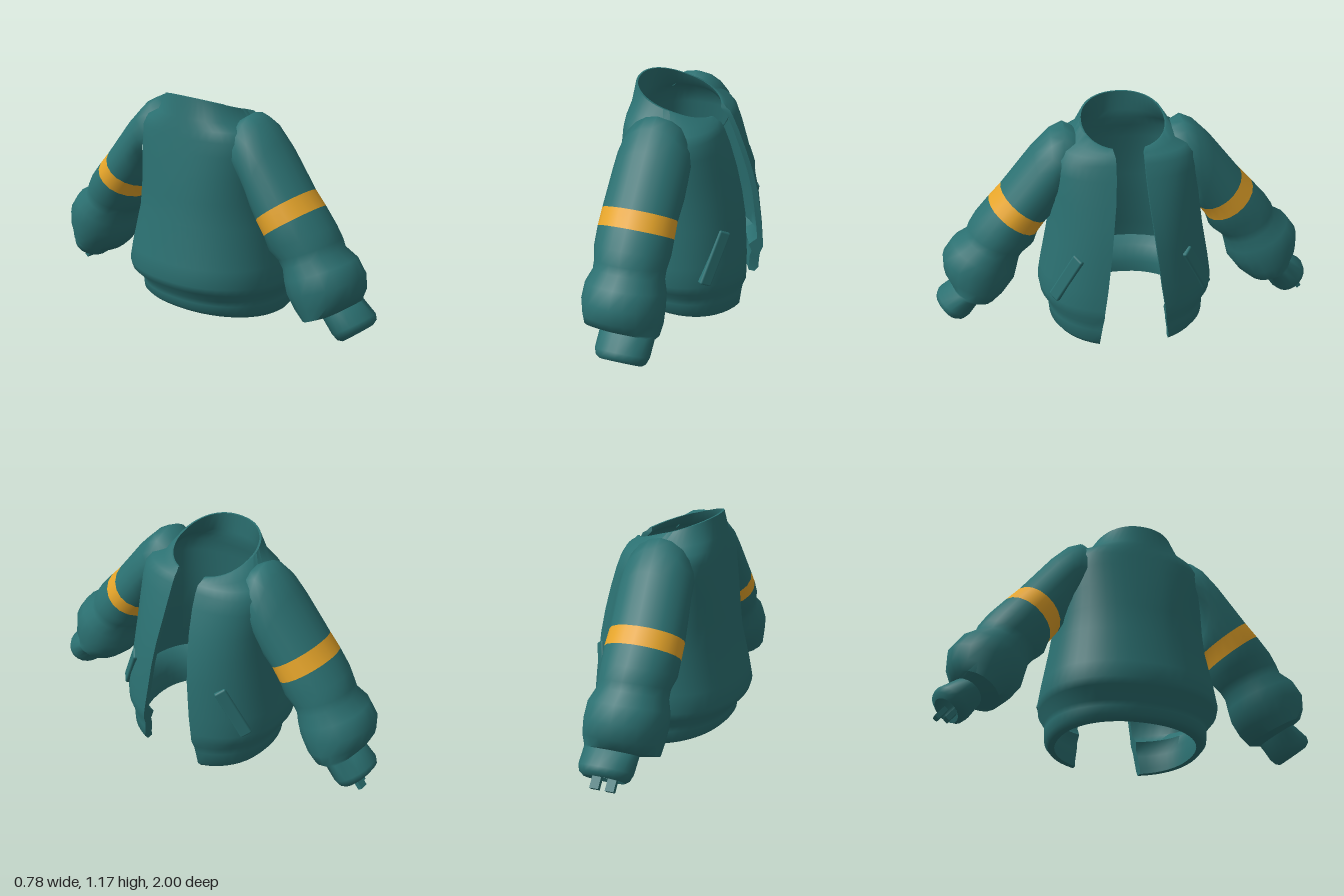
import * as THREE from 'three';
import { toCreasedNormals } from 'three/addons/utils/BufferGeometryUtils.js';
import { RoundedBoxGeometry } from 'three/addons/geometries/RoundedBoxGeometry.js';

const fabric = new THREE.MeshStandardMaterial({ color: 0x2b7071 });
fabric.name = 'teal fabric';
const gold = new THREE.MeshStandardMaterial({ color: 0xe6a52a });
gold.name = 'gold band';

// Triangles joining two rows of equal length
function rowTriangles(rows, i, k, wrap, index) {
  const n = rows[0].length;
  for (let j = 0; j < (wrap ? n : n - 1); j++) {
    const a = i * n + j, b = i * n + (j + 1) % n;
    const c = k * n + j, d = k * n + (j + 1) % n;
    index.push(a, c, b, b, c, d);
  }
}

function makeGeometry(rows, index) {
  const geo = new THREE.BufferGeometry();
  geo.setAttribute('position', new THREE.Float32BufferAttribute(rows.flat(2), 3));
  geo.setIndex(index);
  return geo;
}

// Body levels: yFront, yBack, xFront, xBack, half width, half opening, thickness, squareness
const LEVELS = [
  [0.00, 0.06, 0.372, -0.29, 0.39, 0.18, 0.03, 2.2],
  [0.03, 0.08, 0.392, -0.31, 0.41, 0.18, 0.05, 2.2],
  [0.10, 0.12, 0.394, -0.315, 0.413, 0.17, 0.05, 2.2],
  [0.14, 0.145, 0.398, -0.318, 0.415, 0.165, 0.045, 2.2],
  [0.18, 0.205, 0.41, -0.38, 0.453, 0.16, 0.075, 2.2],
  [0.23, 0.24, 0.408, -0.39, 0.46, 0.155, 0.03, 2.2],
  [0.33, 0.33, 0.40, -0.375, 0.445, 0.14, 0.03, 2.2],
  [0.53, 0.53, 0.377, -0.332, 0.408, 0.115, 0.03, 2.2],
  [0.66, 0.66, 0.347, -0.317, 0.39, 0.10, 0.03, 2.3],
  [0.78, 0.78, 0.31, -0.302, 0.38, 0.085, 0.03, 2.45],
  [0.90, 0.90, 0.267, -0.284, 0.375, 0.075, 0.03, 2.6],
  [0.97, 0.97, 0.237, -0.273, 0.365, 0.072, 0.03, 2.7],
  [1.005, 1.022, 0.218, -0.265, 0.335, 0.072, 0.04, 2.6],
  [1.015, 1.065, 0.203, -0.257, 0.265, 0.075, 0.03, 2.3],
  [1.03, 1.17, 0.19, -0.24, 0.22, 0.08, 0.01, 2.2],
];

// One open C-shaped outline around the torso
function bodyRow([yf, yb, xf, xb, w, gap, , square], inset) {
  const N = 44, p = 2 / square, row = [];
  const half = w - inset, a = (xf - xb) / 2 - inset, cx = (xf + xb) / 2;
  const start = Math.asin(Math.pow(gap / half, 1 / p));
  for (let j = 0; j <= N; j++) {
    const t = start + (2 * Math.PI - 2 * start) * j / N;
    const c = Math.cos(t), s = Math.sin(t);
    row.push([
      cx + a * Math.sign(c) * Math.pow(Math.abs(c), p),
      yb + (yf - yb) * (c + 1) / 2,
      half * Math.sign(s) * Math.pow(Math.abs(s), p),
    ]);
  }
  return row;
}

function makeBody() {
  const outer = LEVELS.map((l) => bodyRow(l, 0));
  const inner = LEVELS.map((l) => bodyRow(l, l[6])).reverse();
  const rows = [...outer, ...inner], total = rows.length, n = rows[0].length;
  const index = [];
  for (let i = 0; i < total; i++) rowTriangles(rows, i, (i + 1) % total, false, index);
  // Front opening edges
  for (let i = 0; i < LEVELS.length - 1; i++) {
    for (const j of [0, n - 1]) {
      const o0 = i * n + j, o1 = o0 + n;
      const i0 = (total - 1 - i) * n + j, i1 = i0 - n;
      if (j === 0) index.push(o0, i0, i1, o0, i1, o1);
      else index.push(o0, i1, i0, o0, o1, i1);
    }
  }
  return toCreasedNormals(makeGeometry(rows, index), 0.9);
}

// Sleeve sections: upper z, upper y, lower z, lower y, centre x, x radius
const SLEEVE = [
  [0.235, 1.06, 0.36, 0.72, -0.035, 0.175],
  [0.30, 1.098, 0.375, 0.66, -0.035, 0.185],
  [0.37, 1.065, 0.38, 0.63, -0.037, 0.188],
  [0.46, 0.975, 0.385, 0.60, -0.04, 0.19],
  [0.63, 0.76, 0.40, 0.58, -0.05, 0.19],
  [0.695, 0.69, 0.45, 0.51, -0.05, 0.192],
  [0.77, 0.605, 0.47, 0.45, -0.05, 0.19],
  [0.81, 0.545, 0.52, 0.41, -0.045, 0.178],
  [0.825, 0.505, 0.55, 0.37, -0.045, 0.178],
  [0.895, 0.465, 0.565, 0.31, -0.045, 0.2],
  [0.95, 0.39, 0.58, 0.25, -0.045, 0.205],
  [0.95, 0.31, 0.63, 0.185, -0.04, 0.2],
  [0.925, 0.255, 0.69, 0.135, -0.04, 0.19],
  [0.91, 0.24, 0.77, 0.15, 0, 0.14],
  [0.99, 0.19, 0.82, 0.075, 0, 0.137],
  [1.0, 0.165, 0.85, 0.05, 0, 0.125],
  [0.985, 0.135, 0.875, 0.05, 0, 0.105],
  [0.965, 0.14, 0.885, 0.075, 0, 0.085],
  [0.915, 0.20, 0.83, 0.13, 0, 0.08],
  [0.872, 0.165, 0.872, 0.165, 0, 0],
];
const BAND = 4; // section where the gold band starts

function makeSleeve(side) {
  const N = 20;
  const rows = SLEEVE.map(([uz, uy, lz, ly, xc, xr]) => {
    const row = [];
    for (let j = 0; j < N; j++) {
      const t = 2 * Math.PI * j / N, c = Math.cos(t);
      row.push([
        xc + side * xr * Math.sin(t),
        (uy + ly) / 2 + c * (uy - ly) / 2,
        side * ((uz + lz) / 2 + c * (uz - lz) / 2),
      ]);
    }
    return row;
  });
  const index = [];
  for (let i = 0; i < rows.length - 1; i++) rowTriangles(rows, i, i + 1, true, index);
  const geo = makeGeometry(rows, index), strip = N * 6;
  geo.addGroup(0, BAND * strip, 0);
  geo.addGroup(BAND * strip, strip, 1);
  geo.addGroup((BAND + 1) * strip, index.length - (BAND + 1) * strip, 0);
  return toCreasedNormals(geo, 1.0);
}

export function createModel() {
  const model = new THREE.Group();
  model.name = 'jacket';
  const add = (name, geo, mat) => {
    const mesh = new THREE.Mesh(geo, mat);
    mesh.name = name;
    model.add(mesh);
    return mesh;
  };

  add('body', makeBody(), fabric);

  for (const side of [1, -1]) {
    const label = side > 0 ? 'Near' : 'Far';
    add('sleeve' + label, makeSleeve(side), [fabric, gold]);

    // Slanted pocket welt lying on the front panel
    const along = new THREE.Vector3(0.06, 0.24, -0.12 * side).normalize();
    const out = new THREE.Vector3(0.68, 0.08, 0.73 * side);
    const across = new THREE.Vector3().crossVectors(along, out).normalize();
    out.crossVectors(across, along);
    const pocket = add('pocket' + label, new RoundedBoxGeometry(0.065, 0.29, 0.04, 2, 0.01), fabric);
    pocket.quaternion.setFromRotationMatrix(new THREE.Matrix4().makeBasis(across, along, out));
    pocket.position.set(0.27, 0.378, 0.332 * side);
  }

  // Small loose tabs under one cuff
  for (const [x, y, z] of [[-0.03, 0.06, -0.91], [0.03, 0.085, -0.95]]) {
    const tab = add('cuffTab', new THREE.BoxGeometry(0.045, 0.07, 0.025), fabric);
    tab.position.set(x, y, z);
    tab.rotation.x = 0.7;
  }
  return model;
}
